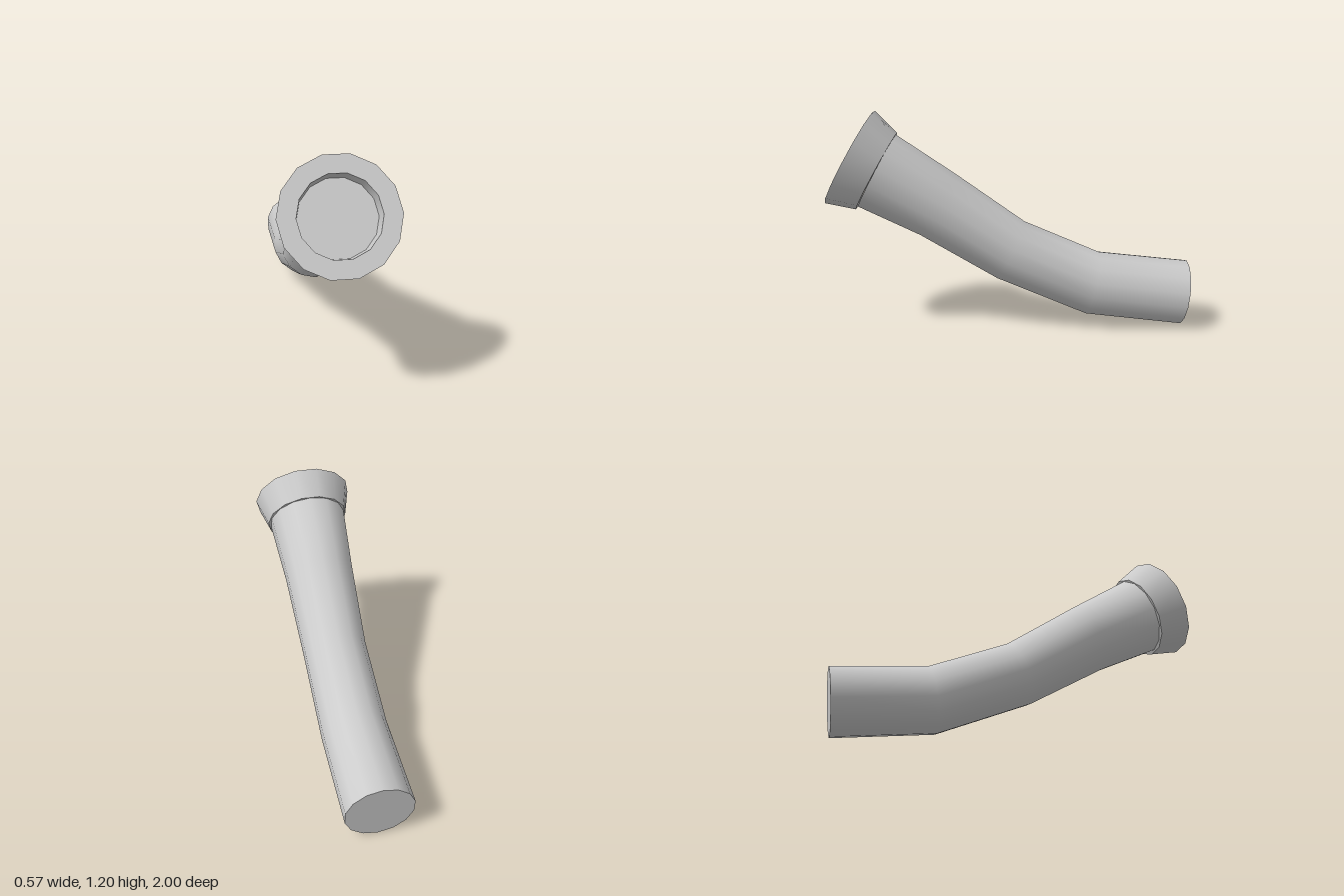
import * as THREE from 'three';

const SIDES = 14;

// Skin a list of rings, each a list of points, into one smooth surface
function loft(rings) {
  const pos = rings.flat().flatMap(p => p.toArray());
  const index = [];
  for (let i = 0; i < rings.length - 1; i++) {
    for (let j = 0; j < SIDES; j++) {
      const a = i * SIDES + j, b = i * SIDES + (j + 1) % SIDES;
      index.push(a, a + SIDES, b, b, a + SIDES, b + SIDES);
    }
  }
  const geo = new THREE.BufferGeometry();
  geo.setAttribute('position', new THREE.Float32BufferAttribute(pos, 3));
  geo.setIndex(index);
  geo.computeVertexNormals();
  return geo;
}

// Round ring whose top and bottom points are given as z, y
function ring([zt, yt, zb, yb]) {
  const r = Math.hypot(zt - zb, yt - yb) / 2;
  return Array.from({ length: SIDES }, (_, j) => {
    const a = (j / SIDES) * Math.PI * 2, c = Math.cos(a) / 2;
    return new THREE.Vector3(
      r * Math.sin(a),
      (yt + yb) / 2 + (yt - yb) * c,
      (zt + zb) / 2 + (zt - zb) * c
    );
  });
}

export function createModel() {
  const group = new THREE.Group();
  const grey = new THREE.MeshStandardMaterial({ color: 0xcccccc });
  grey.name = 'light grey';

  const add = (name, geo, parent = group) => {
    const mesh = new THREE.Mesh(geo, grey);
    mesh.name = name;
    parent.add(mesh);
    return mesh;
  };

  // Bent tube, from the low back end to the raised mouth
  const rings = [
    [-1.0, 0.365, -0.957, 0.003],
    [-0.5, 0.42, -0.42, 0.068],
    [-0.08, 0.60, 0.08, 0.28],
    [0.30, 0.87, 0.50, 0.53],
    [0.615, 1.083, 0.83, 0.69],
  ].map(ring);
  add('tube', loft(rings));

  // Flat cap on the back end
  const first = rings[0];
  const centre = new THREE.Vector3(0, 0.184, -0.9785);
  const cap = new THREE.BufferGeometry().setFromPoints(
    first.flatMap((p, j) => [centre, p, first[(j + 1) % SIDES]])
  );
  cap.computeVertexNormals();
  add('backCap', cap);

  // Flared collar with a shallow recess, turned about its own axis
  const collar = new THREE.Group();
  collar.name = 'collar';
  collar.position.set(0, 0.885, 0.725);
  collar.rotation.x = 1.06;
  group.add(collar);
  const profile = [
    ['collarBack', 0.19, 0],
    ['collarSide', 0.236, 0],
    ['collarFace', 0.284, 0.161],
    ['recessWall', 0.195, 0.161],
    ['recessFloor', 0.187, 0.09],
    ['', 0, 0.09],
  ];
  for (let i = 0; i < profile.length - 1; i++) {
    const pts = [profile[i], profile[i + 1]].map(([, r, y]) => new THREE.Vector2(r, y));
    add(profile[i][0], new THREE.LatheGeometry(pts, SIDES, Math.PI / 2), collar);
  }

  return group;
}
